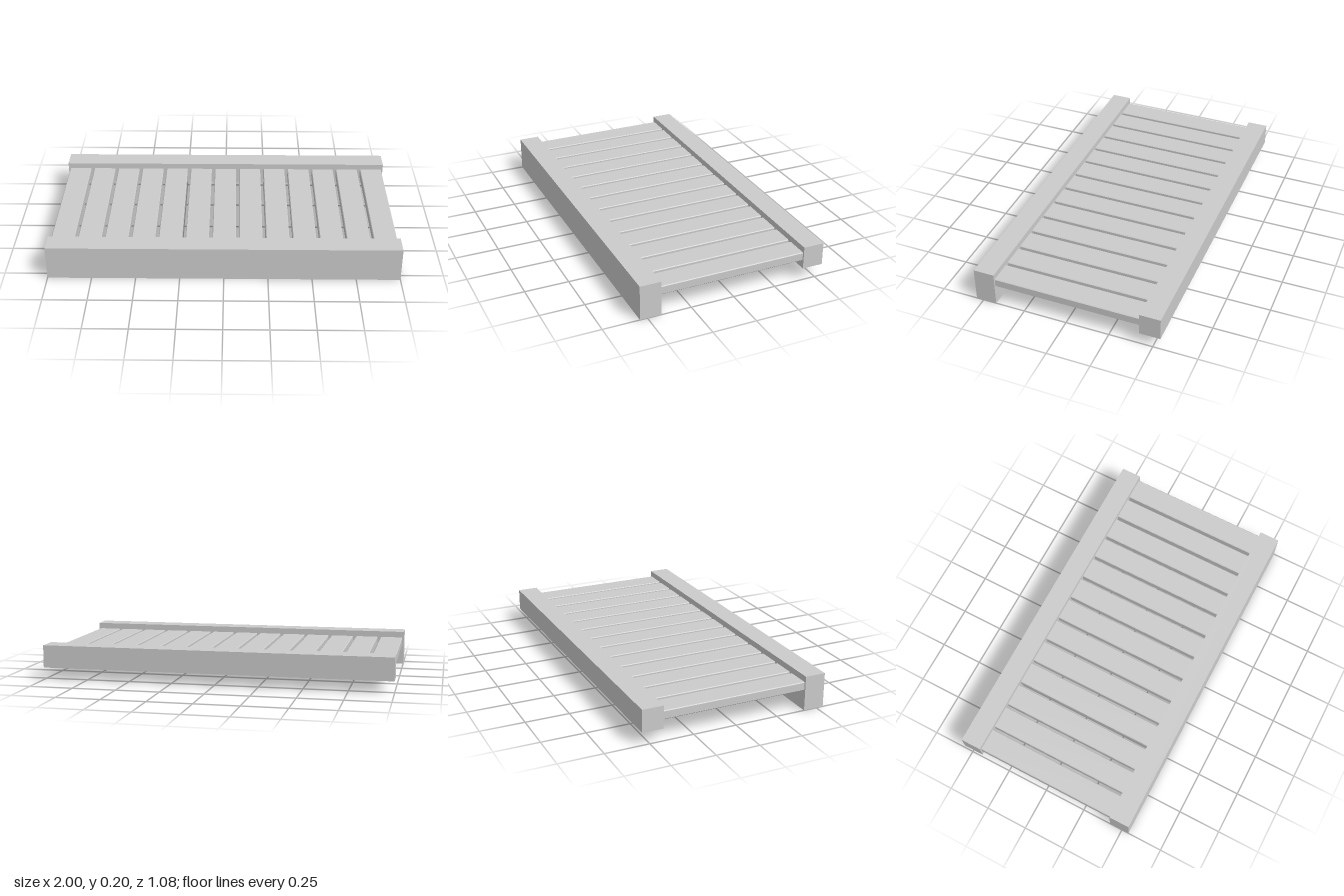
import * as THREE from 'three';

export function createModel() {
  const group = new THREE.Group();
  const material = new THREE.MeshStandardMaterial({ color: 0xcccccc, flatShading: true });

  const add = (name, geometry, x, y, z) => {
    const mesh = new THREE.Mesh(geometry, material);
    mesh.name = name;
    mesh.position.set(x, y, z);
    group.add(mesh);
  };

  // Long rails: the front one is deeper, their tops are level
  const railDepth = 0.12, railZ = 0.482, top = 0.2;
  for (const [name, height, z] of [['frontRail', 0.2, railZ], ['backRail', 0.13, -railZ]]) {
    add(name, new THREE.BoxGeometry(2, height, railDepth), 0, top - height / 2, z);
  }

  // Slat section with finely chamfered edges, run from rail to rail
  const count = 13, pitch = 2 / count;
  const w = 0.067, h = 0.025, c = 0.004, length = 0.88;
  const section = new THREE.Shape([
    [-w + c, -h], [w - c, -h], [w, -h + c], [w, h - c],
    [w - c, h], [-w + c, h], [-w, h - c], [-w, -h + c],
  ].map(([x, y]) => new THREE.Vector2(x, y)));
  const slat = new THREE.ExtrudeGeometry(section, { depth: length, bevelEnabled: false });
  slat.translate(0, 0, -length / 2);

  for (let i = 0; i < count; i++) {
    add(`slat${i + 1}`, slat, -1 + (i + 0.5) * pitch, 0.14, 0);
  }

  return group;
}
